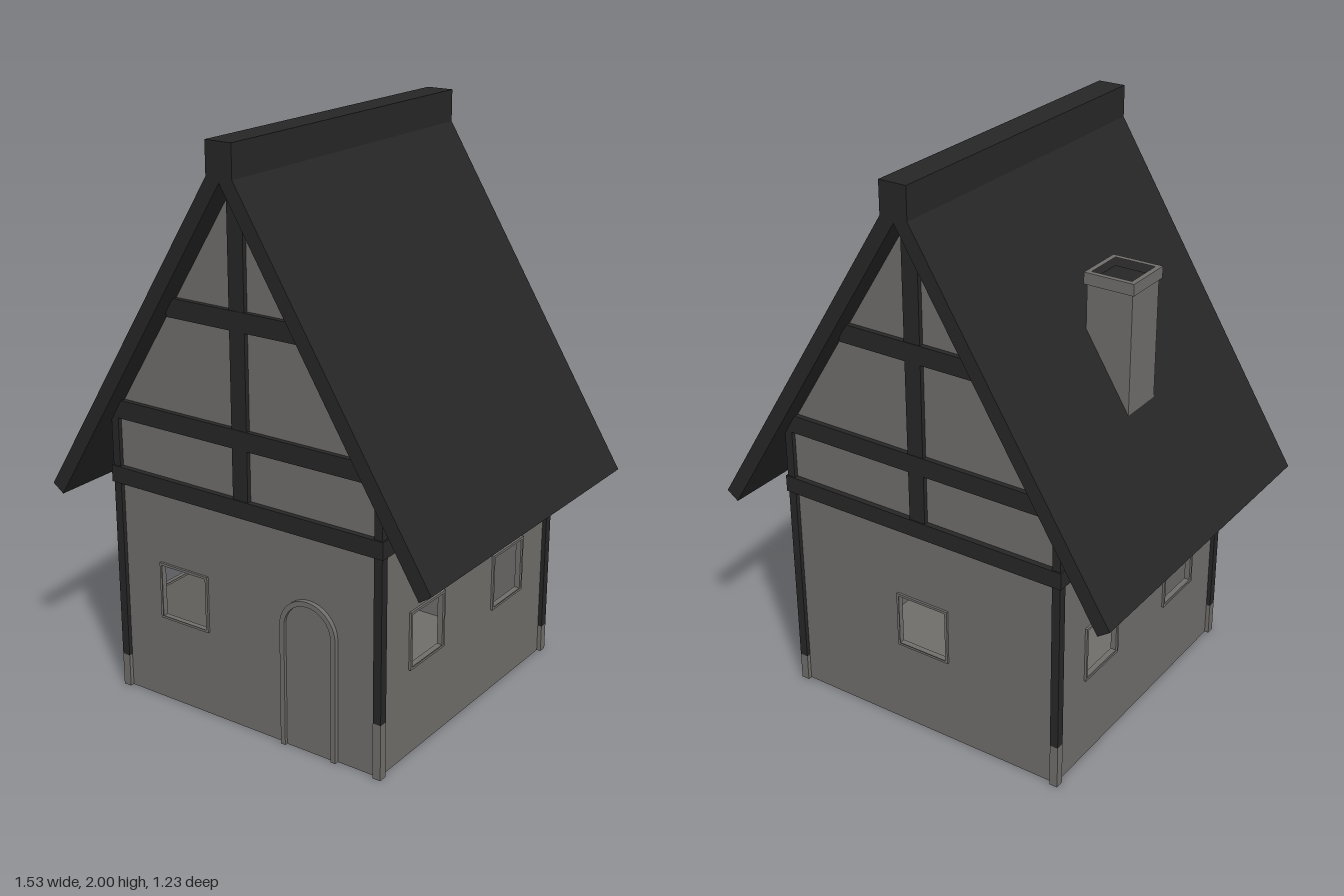
import * as THREE from 'three';

export function createModel() {
  const house = new THREE.Group();
  house.name = 'house';
  const mat = (name, color) => {
    const m = new THREE.MeshStandardMaterial({ color });
    m.name = name;
    return m;
  };
  const plaster = mat('plasterGrey', 0x6f6d6a);
  const timber = mat('darkTimber', 0x262626);

  const add = (name, geo, material, parent = house) => {
    const m = new THREE.Mesh(geo, material);
    m.name = name;
    parent.add(m);
    return m;
  };
  // Box given by its lower and upper limits
  const box = (name, [x0, x1], [y0, y1], [z0, z1], material, parent) => {
    const m = add(name, new THREE.BoxGeometry(x1 - x0, y1 - y0, z1 - z0), material, parent);
    m.position.set((x0 + x1) / 2, (y0 + y1) / 2, (z0 + z1) / 2);
    return m;
  };
  const poly = (pts) => new THREE.Shape(pts.map(([x, y]) => new THREE.Vector2(x, y)));
  const square = (cx, cy, h) => [[cx - h, cy - h], [cx - h, cy + h], [cx + h, cy + h], [cx + h, cy - h]];
  const extrude = (shape, depth) =>
    new THREE.ExtrudeGeometry(shape, { depth, bevelEnabled: false, curveSegments: 10 });

  const W = 0.53, T = 0.02, WIN_Y = 0.415, WIN = 0.1;

  // One wall with square windows and slim frames; outer face lies at local z = W
  const makeWall = (name, outline, windows, angle) => {
    const g = new THREE.Group();
    g.name = name;
    const shape = poly(outline);
    for (const x of windows) shape.holes.push(poly(square(x, WIN_Y, WIN)));
    add(name + 'Panel', extrude(shape, T), plaster, g).position.z = W - T;
    for (const x of windows) {
      const ring = poly(square(x, WIN_Y, WIN + 0.003));
      ring.holes.push(poly(square(x, WIN_Y, WIN - 0.006)));
      add('windowFrame', extrude(ring, T + 0.012), plaster, g).position.z = W - T - 0.004;
    }
    g.rotation.y = angle;
    house.add(g);
    return g;
  };
  const gable = [[-W, 0], [W, 0], [W, 1.05], [0, 1.9], [-W, 1.05]];
  const S = W - T;
  const side = [[-S, 0], [S, 0], [S, 1.04], [-S, 1.04]];
  const front = makeWall('frontWall', gable, [-0.26], 0);
  const back = makeWall('backWall', gable, [0], Math.PI);
  makeWall('leftWall', side, [-0.26, 0.26], Math.PI / 2);
  makeWall('rightWall', side, [-0.26, 0.26], -Math.PI / 2);
  box('floor', [-S, S], [0, 0.015], [-S, S], plaster);

  // Arched door and its raised surround
  const arch = (r, Ctor) => {
    const s = new Ctor();
    s.moveTo(0.26 - r, 0);
    s.lineTo(0.26 + r, 0);
    s.lineTo(0.26 + r, 0.44);
    s.absarc(0.26, 0.44, r, 0, Math.PI, false);
    s.closePath();
    return s;
  };
  const inner = arch(0.092, THREE.Shape);
  add('door', extrude(inner, 0.005), plaster).position.z = W;
  // Surround outline runs up the outside and back down the inside
  const surround = new THREE.Shape();
  surround.moveTo(0.37, 0);
  surround.lineTo(0.37, 0.44);
  surround.absarc(0.26, 0.44, 0.11, 0, Math.PI, false);
  surround.lineTo(0.15, 0);
  surround.lineTo(0.168, 0);
  surround.lineTo(0.168, 0.44);
  surround.absarc(0.26, 0.44, 0.092, Math.PI, 0, true);
  surround.lineTo(0.352, 0);
  surround.closePath();
  add('doorSurround', extrude(surround, 0.016), plaster).position.z = W;

  // Corner posts, each on a short grey foot
  for (const [sx, sz, foot] of [[1, 1, 0.2], [-1, 1, 0.12], [1, -1, 0.1], [-1, -1, 0.16]]) {
    const span = (s) => (s > 0 ? [0.515, 0.545] : [-0.545, -0.515]);
    box('cornerPostFoot', span(sx), [0, foot], span(sz), plaster);
    box('cornerPost', span(sx), [foot, 1.04], span(sz), timber);
  }

  // Ring beam under the eaves
  const B = 0.55;
  for (const s of [-1, 1]) {
    const span = s > 0 ? [S, B] : [-B, -S];
    box('endRingBeam', [-B, B], [0.775, 0.835], span, timber);
    box('sideRingBeam', span, [0.775, 0.835], [-S, S], timber);
  }

  // Gable timbers, the same at both ends
  for (const wall of [front, back]) {
    box('lowerGableBeam', [-0.53, 0.53], [1.01, 1.075], [0.52, 0.548], timber, wall);
    box('upperGableBeam', [-0.285, 0.285], [1.4, 1.465], [0.52, 0.548], timber, wall);
    box('kingPost', [-0.03, 0.03], [0.83, 1.9], [0.52, 0.546], timber, wall);
  }

  // Two roof slabs meeting under a square ridge beam
  const R = 0.615;
  for (const s of [-1, 1]) {
    const pts = [[0, 1.97], [0, 1.875], [0.722, 0.71], [0.765, 0.74]].map(([x, y]) => [x * s, y]);
    add('roofSlab', extrude(poly(pts), 2 * R), timber).position.z = -R;
  }
  box('ridgeBeam', [-0.05, 0.05], [1.885, 2], [-R, R], timber);

  // Chimney with an open cap and dark flue
  const chimney = new THREE.Group();
  chimney.name = 'chimney';
  chimney.position.x = -0.42;
  house.add(chimney);
  box('chimneyShaft', [-0.082, 0.082], [1.12, 1.585], [-0.082, 0.082], plaster, chimney);
  const cap = poly(square(0, 0, 0.09));
  cap.holes.push(poly(square(0, 0, 0.072)));
  const capMesh = add('chimneyCap', extrude(cap, 0.04), plaster, chimney);
  capMesh.rotation.x = -Math.PI / 2;
  capMesh.position.y = 1.58;
  box('flue', [-0.072, 0.072], [1.585, 1.592], [-0.072, 0.072], timber, chimney);

  return house;
}
